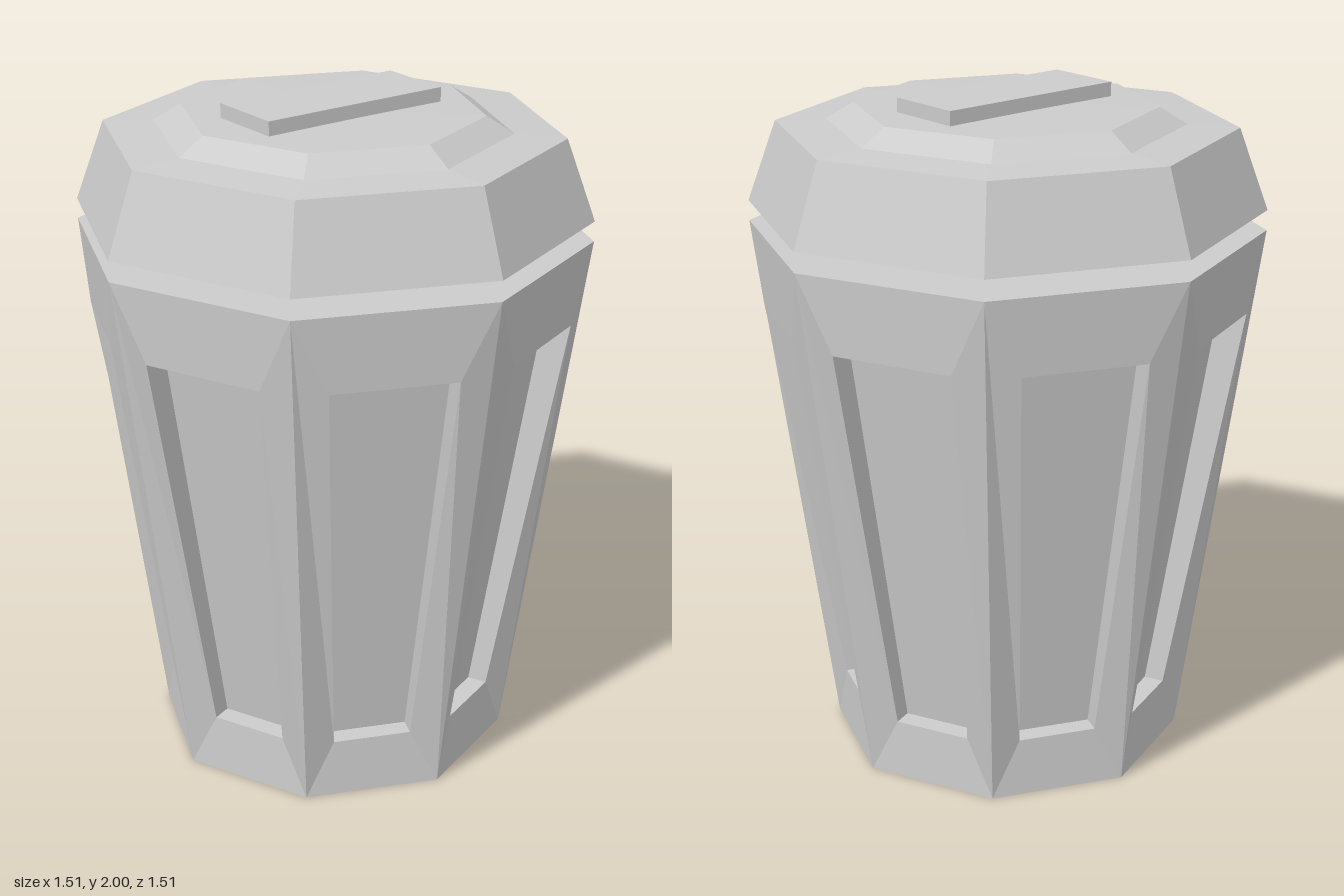
import * as THREE from 'three';

const SIDES = 8;
const HALF = Math.PI / SIDES;
const material = new THREE.MeshStandardMaterial({ color: 0xcccccc, flatShading: true });

function addMesh(parent, name, geometry) {
  const mesh = new THREE.Mesh(geometry, material);
  mesh.name = name;
  parent.add(mesh);
  return mesh;
}

// Flat-shaded geometry from quads, corners counter-clockwise from outside
function quadGeometry(quads) {
  const points = quads.flatMap(([a, b, c, d]) => [a, b, c, a, c, d]);
  const geometry = new THREE.BufferGeometry().setFromPoints(points);
  geometry.computeVertexNormals();
  return geometry;
}

// Four corners of an upright trapezoid facing +z: [halfWidth, y, z] at bottom and top
function trapezoid([w0, y0, z0], [w1, y1, z1]) {
  return [
    new THREE.Vector3(-w0, y0, z0), new THREE.Vector3(w0, y0, z0),
    new THREE.Vector3(w1, y1, z1), new THREE.Vector3(-w1, y1, z1),
  ];
}

// Quads joining an outer loop to an inner loop
function bridge(outer, inner) {
  return outer.map((p, i) => {
    const j = (i + 1) % outer.length;
    return [p, outer[j], inner[j], inner[i]];
  });
}

// Octagonal profile with corners on the axes
function octagonLathe(profile) {
  return new THREE.LatheGeometry(profile.map(([r, y]) => new THREE.Vector2(r, y)), SIDES);
}

export function createModel() {
  const model = new THREE.Group();
  model.name = 'trashCan';

  const bottomR = 0.53, topR = 0.757, bodyH = 1.6;
  const body = new THREE.Group();
  body.name = 'body';
  model.add(body);

  // One side: frame around a recessed panel, repeated around the body
  const edge = trapezoid(
    [bottomR * Math.sin(HALF), 0, bottomR * Math.cos(HALF)],
    [topR * Math.sin(HALF), bodyH, topR * Math.cos(HALF)]);
  const opening = trapezoid([0.117, 0.175, 0.484], [0.183, 1.375, 0.687]);
  const recess = trapezoid([0.117, 0.175, 0.424], [0.183, 1.375, 0.599]);
  const frameGeometry = quadGeometry([...bridge(edge, opening), ...bridge(opening, recess)]);
  const panelGeometry = quadGeometry([recess]);
  for (let i = 0; i < SIDES; i++) {
    const side = new THREE.Group();
    side.name = 'side' + (i + 1);
    side.rotation.y = HALF + i * 2 * HALF;
    addMesh(side, 'panelFrame', frameGeometry);
    addMesh(side, 'recessedPanel', panelGeometry);
    body.add(side);
  }

  // Closed base and top of the body
  addMesh(body, 'base', new THREE.CircleGeometry(bottomR, SIDES)).rotation.x = Math.PI / 2;
  const cap = addMesh(body, 'bodyTop', new THREE.CircleGeometry(topR, SIDES));
  cap.rotation.x = -Math.PI / 2;
  cap.position.y = bodyH;

  // Lid held just above the body, with a raised centre
  const lid = new THREE.Group();
  lid.name = 'lid';
  model.add(lid);
  addMesh(lid, 'lidShell', octagonLathe([
    [0, 1.66], [0.757, 1.66], [0.67, 1.9], [0.52, 1.908], [0.44, 1.957], [0, 1.96],
  ]));

  // Flat handle across the lid
  addMesh(lid, 'handle', new THREE.BoxGeometry(0.605, 0.05, 0.235)).position.y = 1.975;

  return model;
}
